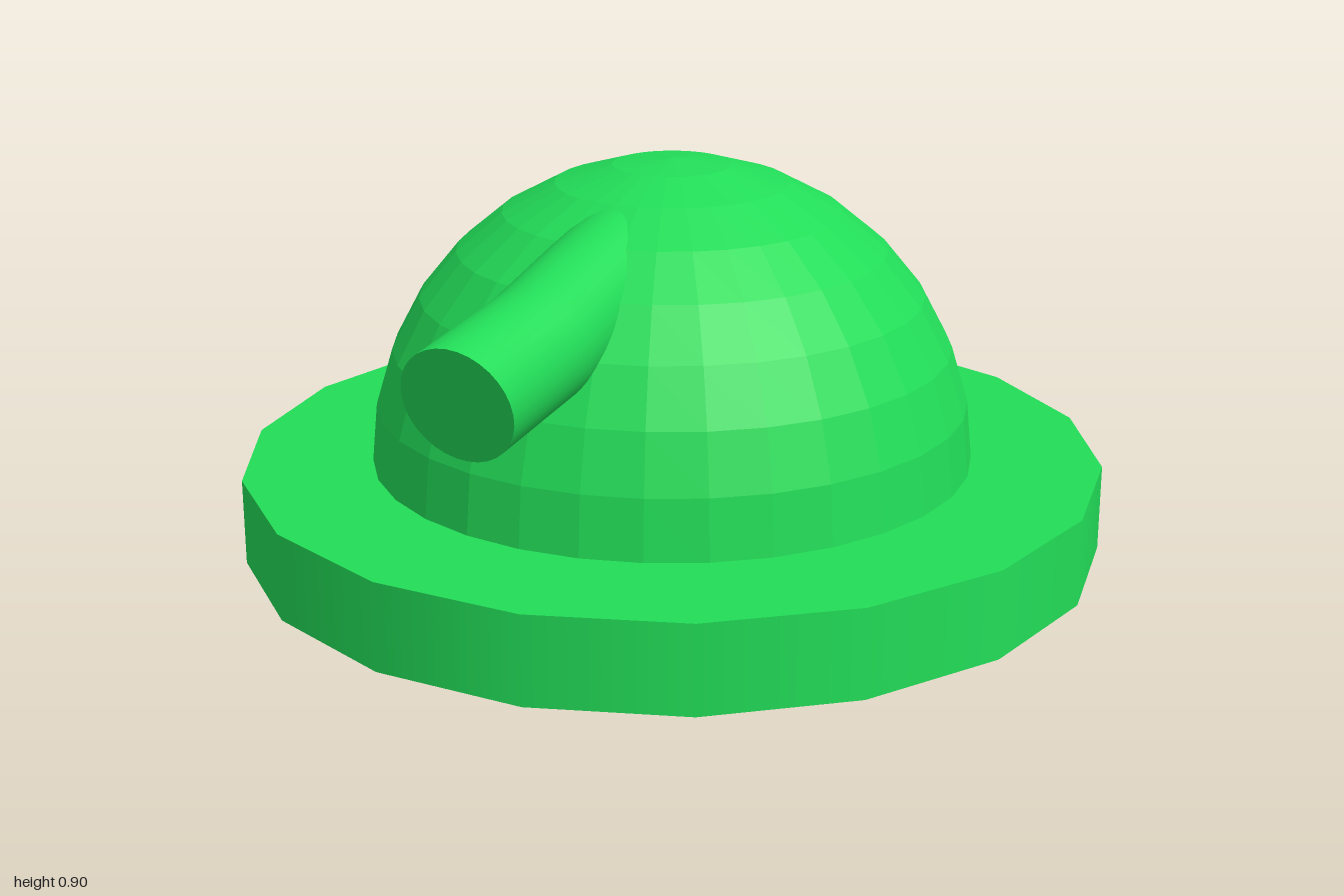
import * as THREE from 'three';

export function createModel() {
  const group = new THREE.Group();
  const color = 0x22dd58;
  const smooth = new THREE.MeshStandardMaterial({ color });
  const faceted = new THREE.MeshStandardMaterial({ color, flatShading: true });

  const add = (name, geometry, material, y = 0) => {
    const mesh = new THREE.Mesh(geometry, material);
    mesh.name = name;
    mesh.position.y = y;
    group.add(mesh);
  };

  // Eighteen-sided base plate with corners on the x axis
  add('base', new THREE.CylinderGeometry(1, 1, 0.2, 18).rotateY(Math.PI / 2), smooth, 0.1);

  // Faceted half-sphere dome resting on the plate
  add('dome', new THREE.SphereGeometry(0.7, 32, 8, 0, Math.PI * 2, 0, Math.PI / 2), faceted, 0.2);

  // Slightly bent barrel: three rings, from the muzzle to inside the dome
  const rings = [
    { z: 0.92, y: 0.583, tilt: 0.25 },
    { z: 0.615, y: 0.623, tilt: 0.19 },
    { z: 0.1, y: 0.751, tilt: 0.245 },
  ];
  const barrel = new THREE.CylinderGeometry(0.13, 0.13, 2, 32, 2);
  const pos = barrel.attributes.position;
  for (let i = 0; i < pos.count; i++) {
    const ring = rings[Math.round(1 - pos.getY(i))];
    const up = -pos.getZ(i);
    pos.setXYZ(i, pos.getX(i), ring.y + up * Math.cos(ring.tilt), ring.z + up * Math.sin(ring.tilt));
  }
  barrel.computeVertexNormals();
  add('barrel', barrel, smooth);

  return group;
}
